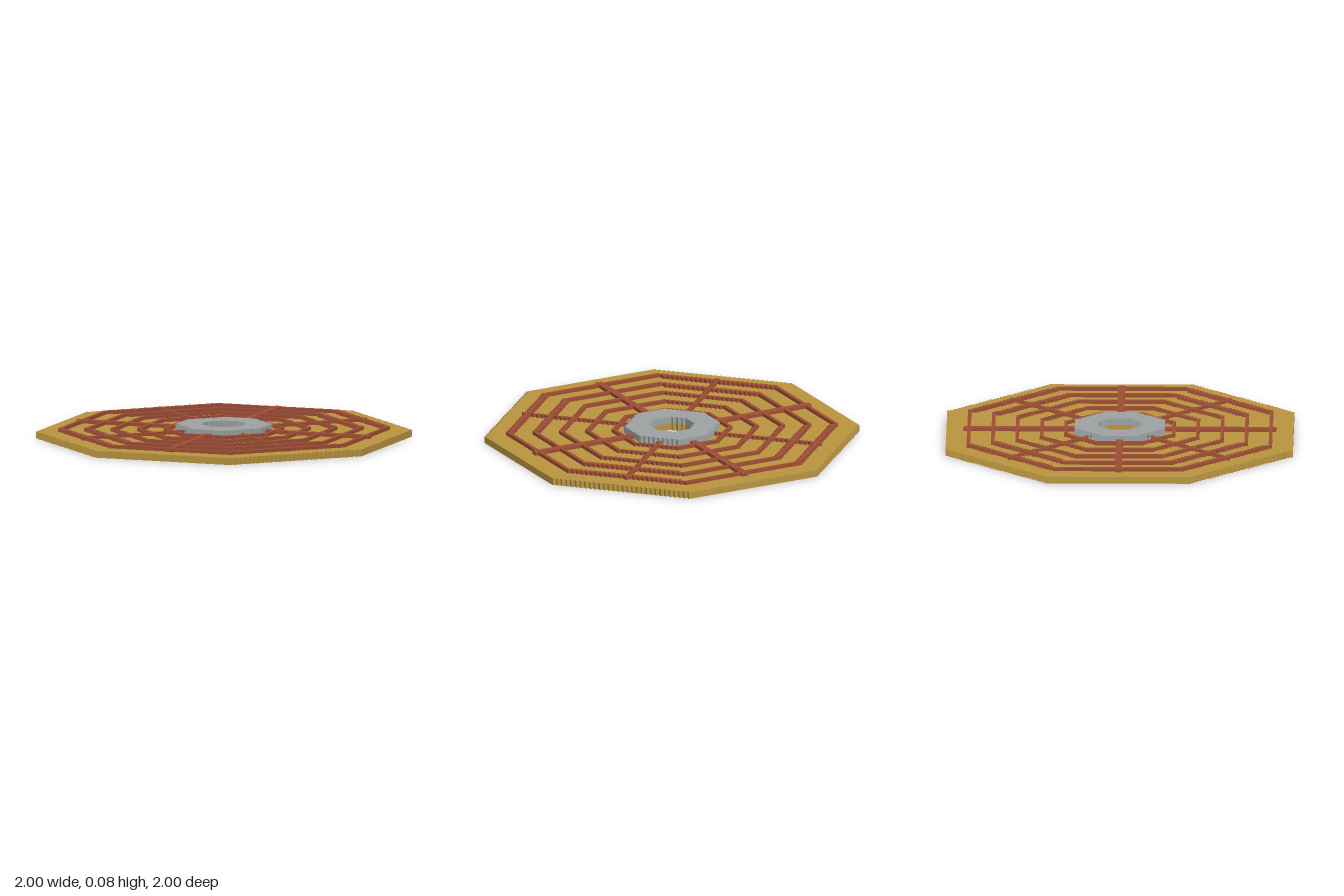
import * as THREE from 'three';
import { mergeGeometries } from 'three/addons/utils/BufferGeometryUtils.js';

// All plan sizes below are whole cells of this size
const CELL = 0.02;

// Octagon outline whose diagonal sides run in one-cell stairs:
// r = half width, a = half length of each straight side
function steppedOctagon(r, a, PathType) {
  const quarter = [];
  for (let k = 0; k < r - a; k++) {
    quarter.push([r - k, a + k], [r - k - 1, a + k]);
  }
  quarter.push([a, r]);
  const points = [];
  for (let q = 0; q < 4; q++) {
    for (const [x, y] of quarter) {
      const [px, py] = [[x, y], [-y, x], [-x, -y], [y, -x]][q];
      points.push(new THREE.Vector2(px * CELL, py * CELL));
    }
  }
  return new PathType(points);
}

// Stepped octagonal slab with the central opening
function slab(r, a, y0, y1) {
  const shape = steppedOctagon(r, a, THREE.Shape);
  shape.holes.push(steppedOctagon(6, 3, THREE.Path));
  return new THREE.ExtrudeGeometry(shape, { depth: (y1 - y0) * CELL, bevelEnabled: false })
    .rotateX(-Math.PI / 2)
    .translate(0, y0 * CELL, 0);
}

// One-cell-high block lying on the plate, given by its plan limits
function block(x0, x1, z0, z1) {
  return new THREE.BoxGeometry((x1 - x0) * CELL, CELL, (z1 - z0) * CELL)
    .translate((x0 + x1) * CELL / 2, 2.5 * CELL, (z0 + z1) * CELL / 2);
}

// Merge a quarter's blocks after turning them to all four quarters
function fourTimes(blocks) {
  const all = [];
  for (let q = 0; q < 4; q++) {
    for (const b of blocks) all.push(b.clone().rotateY(q * Math.PI / 2));
  }
  return mergeGeometries(all);
}

// Octagonal ring: a straight bar and one staircase, width cells wide
function ring(r, a, width) {
  const blocks = [block(r - 1, r, -a, a)];
  for (let k = 0; k < r - a - 1; k++) {
    const outer = r - k - 1;
    blocks.push(block(outer - width, outer, a + k, a + k + 1));
  }
  return fourTimes(blocks);
}

export function createModel() {
  const group = new THREE.Group();
  const gold = new THREE.MeshStandardMaterial({ color: 0xba9640 });
  gold.name = 'gold';
  const rust = new THREE.MeshStandardMaterial({ color: 0x9f4e35 });
  rust.name = 'rust brown';
  const grey = new THREE.MeshStandardMaterial({ color: 0x9fa3a4 });
  grey.name = 'grey';

  const add = (name, geometry, material) => {
    const mesh = new THREE.Mesh(geometry, material);
    mesh.name = name;
    group.add(mesh);
  };

  add('basePlate', slab(50, 21, 0, 2), gold);
  add('hub', slab(13, 5, 2, 4), grey);

  // Web rings: half width, half straight side, stair width
  const rings = [[44, 19, 2], [37, 16, 2], [30, 13, 1], [23, 10, 1], [16, 7, 1]];
  rings.forEach(([r, a, w], i) => add(`webRing${i + 1}`, ring(r, a, w), rust));

  // Straight spokes start under the hub
  add('straightSpokes', fourTimes([block(12, 45, -1, 1)]), rust);

  // Diagonal spokes are chains of single cells
  const chain = [];
  for (let k = 8; k < 32; k++) chain.push(block(k, k + 1, k, k + 1));
  add('diagonalSpokes', fourTimes(chain), rust);

  return group;
}
